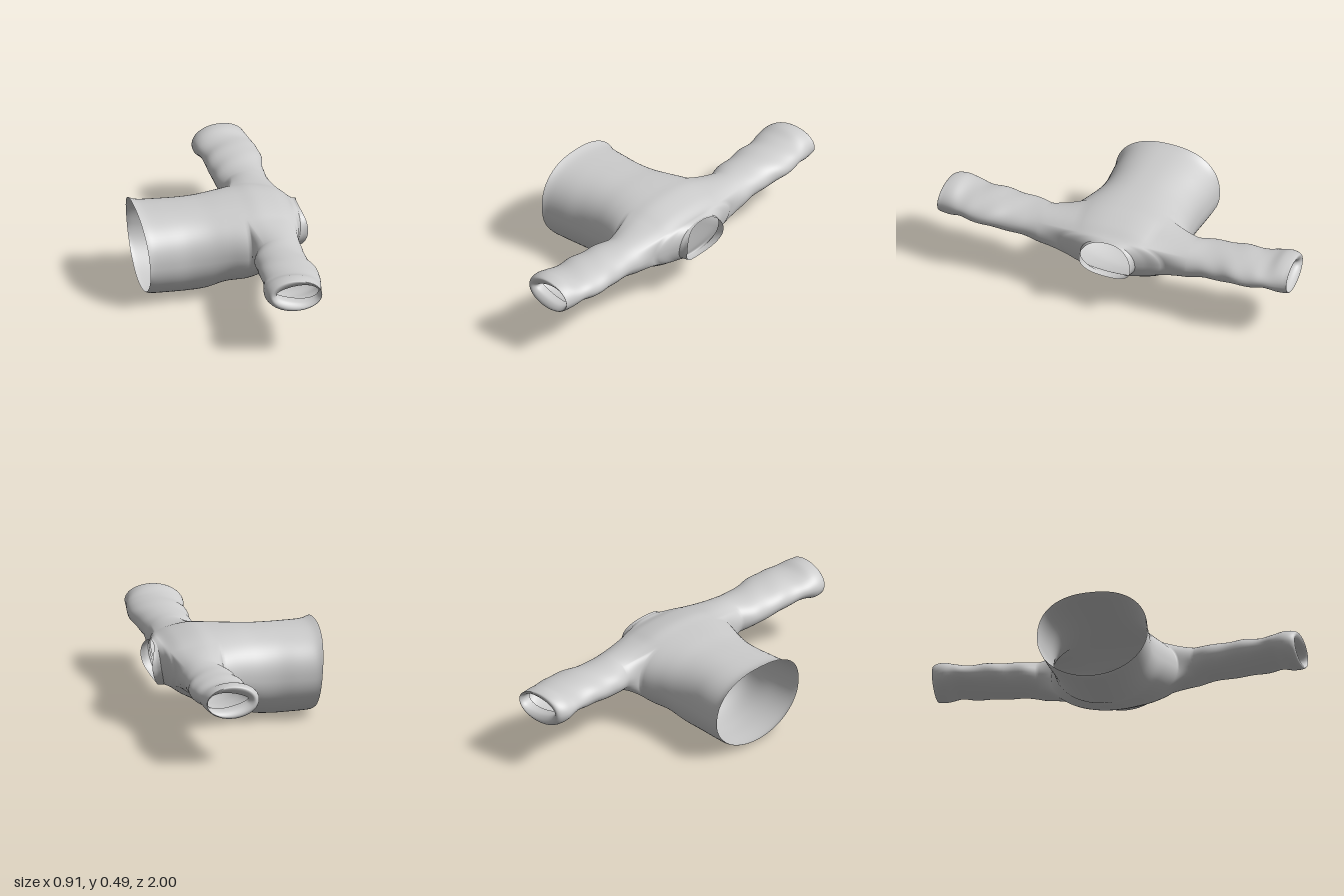
import * as THREE from 'three';

const N = 72;            // points around the torso
const SUB = 6;           // rows between neighbouring stations

// Torso stations from hem to neck: x, half width, centre y, half height, tilt, bulge
const TORSO = [
  [-0.433, 0.30, 0.255, 0.235, -0.017, 0.009],
  [-0.40, 0.292, 0.242, 0.234, -0.005, 0.002],
  [-0.30, 0.283, 0.238, 0.235, 0, 0],
  [-0.20, 0.275, 0.237, 0.236, 0, 0],
  [-0.10, 0.283, 0.242, 0.232, 0, 0],
  [0.00, 0.305, 0.262, 0.217, 0, 0],
  [0.11, 0.343, 0.273, 0.209, 0, 0],
  [0.20, 0.35, 0.292, 0.191, 0, 0],
  [0.30, 0.338, 0.306, 0.155, 0.005, 0],
  [0.365, 0.30, 0.312, 0.122, 0.01, 0.005],
  [0.39, 0.21, 0.31, 0.119, 0.015, 0.01],
  [0.408, 0.156, 0.307, 0.117, 0.02, 0.015],
];
const COLLAR = [
  TORSO[TORSO.length - 1],
  [0.43, 0.147, 0.307, 0.118, 0.017, 0.026],
  [0.455, 0.145, 0.307, 0.117, 0.012, 0.042],
];
// Sleeve stations from armhole to cuff, then folded back inside: z, x min, x max, y min, y max, pinch
const SLEEVE = [
  [0.42, 0.115, 0.37, 0.232, 0.425, 0],
  [0.50, 0.09, 0.365, 0.25, 0.422, 0],
  [0.60, 0.088, 0.37, 0.258, 0.425, 0],
  [0.70, 0.08, 0.385, 0.27, 0.43, 0],
  [0.80, 0.08, 0.385, 0.278, 0.427, 0],
  [0.87, 0.06, 0.37, 0.282, 0.43, 0],
  [0.93, 0.052, 0.36, 0.265, 0.447, 0],
  [0.98, 0.063, 0.352, 0.263, 0.447, 0],
  [0.999, 0.085, 0.35, 0.275, 0.44, 0.1],
  [0.975, 0.11, 0.342, 0.295, 0.418, 0.4],
  [0.93, 0.11, 0.345, 0.297, 0.412, 0.55],
];
// Armhole block in the torso grid
const ROW0 = 6 * SUB, ROW1 = 9 * SUB, COL0 = -7, COL1 = 11;

// Smooth interpolation through a list of stations
function sample(list, t) {
  const i = Math.min(Math.floor(t), list.length - 2), f = t - i;
  const at = k => list[Math.max(0, Math.min(list.length - 1, k))];
  return list[i].map((p1, c) => {
    const p0 = at(i - 1)[c], p2 = at(i + 1)[c], p3 = at(i + 2)[c];
    return p1 + 0.5 * f * (p2 - p0 + f * (2 * p0 - 5 * p1 + 4 * p2 - p3 + f * (3 * (p1 - p2) + p3 - p0)));
  });
}

// Rings of an oval tube running along x, squarer over the upper half
function pushRings(positions, stations) {
  const rows = (stations.length - 1) * SUB;
  for (let r = 0; r <= rows; r++) {
    const [x, a, c, b, tilt, bulge] = sample(stations, r / SUB);
    for (let j = 0; j < N; j++) {
      const th = (j / N) * Math.PI * 2, power = j < N / 2 ? 0.85 : 1;
      const shape = v => Math.sign(v) * Math.abs(v) ** power;
      const s = shape(Math.sin(th));
      positions.push(x + tilt * s - bulge * s * s, c + b * s, a * shape(Math.cos(th)));
    }
  }
  return rows;
}

const id = (r, j) => r * N + ((j % N) + N) % N;
const quad = (index, a, b, c, d, flip) =>
  flip ? index.push(a, c, b, a, d, c) : index.push(a, b, c, a, c, d);

function addSleeve(positions, index, side) {
  const col = j => (side > 0 ? j : N / 2 - j);
  // Walk round the edge of the armhole
  let ring = [];
  for (let r = ROW0; r < ROW1; r++) ring.push(id(r, col(COL0)));
  for (let j = COL0; j < COL1; j++) ring.push(id(ROW1, col(j)));
  for (let r = ROW1; r > ROW0; r--) ring.push(id(r, col(COL1)));
  for (let j = COL1; j > COL0; j--) ring.push(id(ROW0, col(j)));
  const start = ring.map(i => positions.slice(i * 3, i * 3 + 3));
  const angles = start.map(([x, y]) => Math.atan2((y - 0.315) / 0.12, (x - 0.24) / 0.13));

  // Oval section with soft wrinkles, a slanted cuff and a pinched inner fold
  const sleevePoint = (t, th) => {
    const [z, x0, x1, y0, y1, pinch] = sample(SLEEVE, t);
    const back = (1 - Math.cos(th)) / 2;
    const fade = Math.sin(Math.PI * Math.min(1, t / 7));
    const w = 1 + 0.03 * fade * Math.sin(2 * th + z * 22) * Math.cos(z * 15 + th);
    return [(x0 + x1) / 2 + (x1 - x0) / 2 * Math.cos(th) * w,
      (y0 + y1) / 2 + (y1 - y0) / 2 * Math.sin(th) * w * (1 - pinch * back),
      (z - 0.015 * back * Math.min(1, t / 8)) * side];
  };
  const addRing = points => {
    const first = positions.length / 3, n = points.length;
    points.forEach(p => positions.push(...p));
    const next = points.map((_, i) => first + i);
    for (let i = 0; i < n; i++) {
      const k = (i + 1) % n;
      quad(index, ring[i], ring[k], next[k], next[i], side < 0);
    }
    ring = next;
  };
  // Shoulder blend from armhole to the first sleeve ring
  for (let k = 1; k < 8; k++) {
    const f = k / 8, e = f * (1.4 - 0.4 * f);
    addRing(start.map((p, i) => {
      const q = sleevePoint(0, angles[i]);
      return [p[0] + (q[0] - p[0]) * e, p[1] + (q[1] - p[1]) * e, p[2] + (q[2] - p[2]) * f];
    }));
  }
  const last = (SLEEVE.length - 1) * 5;
  for (let k = 0; k <= last; k++) addRing(angles.map(th => sleevePoint(k / 5, th)));
}

export function createModel() {
  const group = new THREE.Group();
  const material = new THREE.MeshStandardMaterial({ color: 0xcccccc, side: THREE.DoubleSide });
  const addPart = (name, geometry) => {
    const mesh = new THREE.Mesh(geometry, material);
    mesh.name = name;
    group.add(mesh);
  };
  const buildGeometry = (positions, index) => {
    const geometry = new THREE.BufferGeometry();
    geometry.setAttribute('position', new THREE.Float32BufferAttribute(positions, 3));
    geometry.setIndex(index);
    geometry.computeVertexNormals();
    return geometry;
  };

  // Torso grid with the two armholes left open
  const positions = [], torso = [], leftSleeve = [], rightSleeve = [];
  const rows = pushRings(positions, TORSO);
  const inHole = (r, j) => {
    const k = ((j + N / 2) % N) - N / 2;
    const m = N / 2 - 1 - j;
    return r >= ROW0 && r < ROW1 && ((k >= COL0 && k < COL1) || (m >= COL0 && m < COL1));
  };
  for (let r = 0; r < rows; r++)
    for (let j = 0; j < N; j++)
      if (!inHole(r, j)) quad(torso, id(r, j), id(r + 1, j), id(r + 1, j + 1), id(r, j + 1));

  addSleeve(positions, leftSleeve, 1);
  addSleeve(positions, rightSleeve, -1);

  // Normals are worked out over the whole garment so the shoulders blend smoothly
  const whole = buildGeometry(positions, [...torso, ...leftSleeve, ...rightSleeve]);
  for (const [name, index] of Object.entries({ torso, leftSleeve, rightSleeve })) {
    const geometry = whole.clone();
    geometry.setIndex(index);
    addPart(name, geometry);
  }

  // Collar band continuing from the neck edge
  const collarPositions = [], collarIndex = [];
  const collarRows = pushRings(collarPositions, COLLAR);
  for (let r = 0; r < collarRows; r++)
    for (let j = 0; j < N; j++)
      quad(collarIndex, id(r, j), id(r + 1, j), id(r + 1, j + 1), id(r, j + 1));
  addPart('collar', buildGeometry(collarPositions, collarIndex));

  return group;
}
